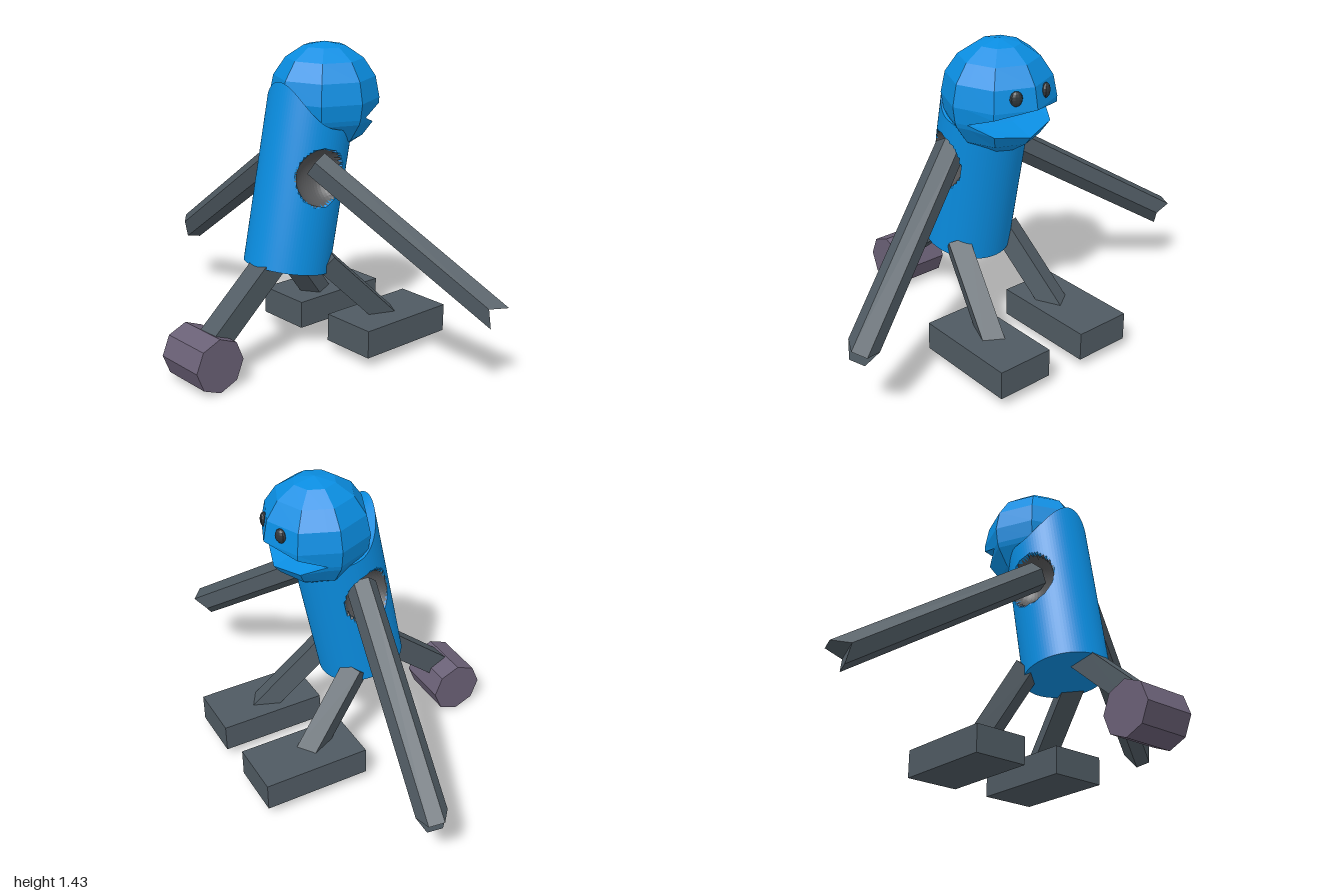
import * as THREE from 'three';

const V = (x, y, z) => new THREE.Vector3(x, y, z);
const MID = 0.077; // symmetry plane of the body
const mat = (color) =>
  new THREE.MeshStandardMaterial({ color, flatShading: true, side: THREE.DoubleSide });

function fromTriangles(points) {
  const g = new THREE.BufferGeometry();
  g.setAttribute('position', new THREE.Float32BufferAttribute(points, 3));
  g.computeVertexNormals();
  return g;
}

// Leaning tube with a scooped collar, peaked at one side, and a ball-shaped hollow for each arm
function bodyGeometries() {
  const radius = 0.191, R = 0.128;
  const balls = [V(MID + 0.207, 0.875, -0.012), V(MID - 0.207, 0.875, -0.012)];
  const g = new THREE.CylinderGeometry(radius, radius, 1, 96, 72).toNonIndexed();
  const p = g.attributes.position;
  for (let i = 0; i < p.count; i++) {
    const c = p.getZ(i) / radius;
    const top = 0.65 + (c > 0 ? 0.165 * c ** 2.3 : -0.08 * c * c);
    p.setY(i, (p.getY(i) + 0.5) * top);
  }
  g.scale(1, 1, 1.04).rotateX(-0.193).translate(MID, 0.441, 0.032);
  const shell = [], sockets = [];
  for (let i = 0; i < p.count; i += 3) {
    let dented = 0;
    const tri = [];
    for (let k = 0; k < 3; k++) {
      const v = V().fromBufferAttribute(p, i + k);
      for (const c of balls) {
        if (v.distanceTo(c) >= R) continue;
        const depth = Math.sqrt(R * R - (v.y - c.y) ** 2 - (v.z - c.z) ** 2);
        v.x = c.x - Math.sign(c.x - MID) * depth;
        dented++;
      }
      tri.push(v.x, v.y, v.z);
    }
    (dented >= 2 ? sockets : shell).push(...tri);
  }
  return [fromTriangles(shell), fromTriangles(sockets)];
}

// Eight-sided ball with an open wedge for the mouth, built column by column
function headGeometry() {
  const R = 0.245, hinge = 0.224, hingeY = -0.072, s = Math.SQRT1_2;
  // columns as (sideways, forward) on a unit octagon, plus the mouth corners
  const cols = [[0, 1], [s, s], [0.907, hinge], [1, 0], [s, -s],
    [0, -1], [-s, -s], [-1, 0], [-0.907, hinge], [-s, s]];
  const column = ([x, f]) => {
    const w = Math.max(0, (f - hinge) / (1 - hinge));
    const at = (y) => {
      const r = Math.sqrt(Math.max(0, R * R - y * y));
      return V(x * r, y, -f * r);
    };
    const ring = (deg) => at(R * Math.sin(deg * Math.PI / 180));
    const upper = at(hingeY + 0.072 * w), lower = at(hingeY - 0.063 * w);
    const inner = at(hingeY);
    if (w > 0) inner.z = -hinge * R;
    const mid = (lip, lift) => {
      const m = lip.clone().lerp(inner, 0.78);
      m.y += lift * w;
      return m;
    };
    return [ring(90), ring(67.5), ring(45), ring(22.5), ring(0), upper, mid(upper, 0.022),
      inner, mid(lower, -0.01), lower, at(Math.min(lower.y, -0.094)),
      ring(-45), ring(-67.5), ring(-90)];
  };
  const grid = cols.map(column), out = [];
  grid.forEach((a, j) => {
    const b = grid[(j + 1) % grid.length];
    for (let i = 0; i < a.length - 1; i++) {
      for (const t of [[a[i], b[i], a[i + 1]], [b[i], b[i + 1], a[i + 1]]]) {
        const area = t[1].clone().sub(t[0]).cross(t[2].clone().sub(t[0])).length();
        if (area > 1e-7) t.forEach((v) => out.push(v.x, v.y, v.z));
      }
    }
  });
  return fromTriangles(out);
}

// Six-sided arm whose far end is notched into a two-pronged hand
function armGeometry(length) {
  const g = new THREE.CylinderGeometry(0.068, 0.068, length, 6);
  const p = g.attributes.position;
  for (let i = 0; i < p.count; i++) {
    if (p.getY(i) > 0 && Math.abs(p.getX(i)) < 0.01) p.setY(i, p.getY(i) - 0.06);
  }
  return g.toNonIndexed();
}

export function createModel() {
  const model = new THREE.Group();
  model.name = 'figure';
  const blue = mat(0x0a8ee2), grey = mat(0x4f5a62), socketGrey = mat(0x555658);
  const purple = mat(0x6a6076), dark = mat(0x2f363a);

  const add = (name, geometry, material, pos = V(0, 0, 0)) => {
    const m = new THREE.Mesh(geometry, material);
    m.name = name;
    m.position.copy(pos);
    model.add(m);
    return m;
  };
  // Place a part whose length runs along y between two points
  const span = (name, make, a, b) => {
    const m = add(name, make(a.distanceTo(b)), grey, a.clone().lerp(b, 0.5));
    m.quaternion.setFromUnitVectors(V(0, 1, 0), b.clone().sub(a).normalize());
  };
  const beam = (w, d) => (length) => new THREE.BoxGeometry(w, length, d);

  // Body and head
  const [shell, sockets] = bodyGeometries();
  add('body', shell, blue);
  add('shoulderSockets', sockets, socketGrey);
  add('head', headGeometry(), blue, V(MID, 1.185, -0.185));

  // Arms
  span('leftArm', armGeometry, V(0.21, 0.925, -0.025), V(0.965, 0.347, -0.385));
  span('rightArm', armGeometry, V(-0.05, 0.915, -0.035), V(-0.962, 0.315, -0.2));

  // Eyes, legs and feet on both sides
  for (const [side, s, toe] of [['left', 1, -0.415], ['right', -1, -0.365]]) {
    const eye = add(side + 'Eye', new THREE.SphereGeometry(0.033, 10, 8), dark,
      V(MID + s * 0.08, 1.24, -0.387));
    eye.scale.set(0.85, 1, 0.55);
    eye.rotation.y = -s * 0.4;
    span(side + 'Leg', beam(0.095, 0.092), V(MID + s * 0.135, 0.474, -0.07),
      V(MID + s * 0.212, 0.13, toe));
    add(side + 'Foot', new THREE.BoxGeometry(0.267, 0.13, 0.495), grey,
      V(MID + s * 0.226, 0.115, -0.388));
  }

  // Trailing strut with its roller
  span('strut', beam(0.1, 0.107), V(0.095, 0.50, 0.12), V(0.106, 0.17, 0.51));
  const roller = new THREE.CylinderGeometry(0.125, 0.125, 0.25, 8).rotateZ(Math.PI / 2);
  add('roller', roller, purple, V(MID, 0.125, 0.51));

  return model;
}
